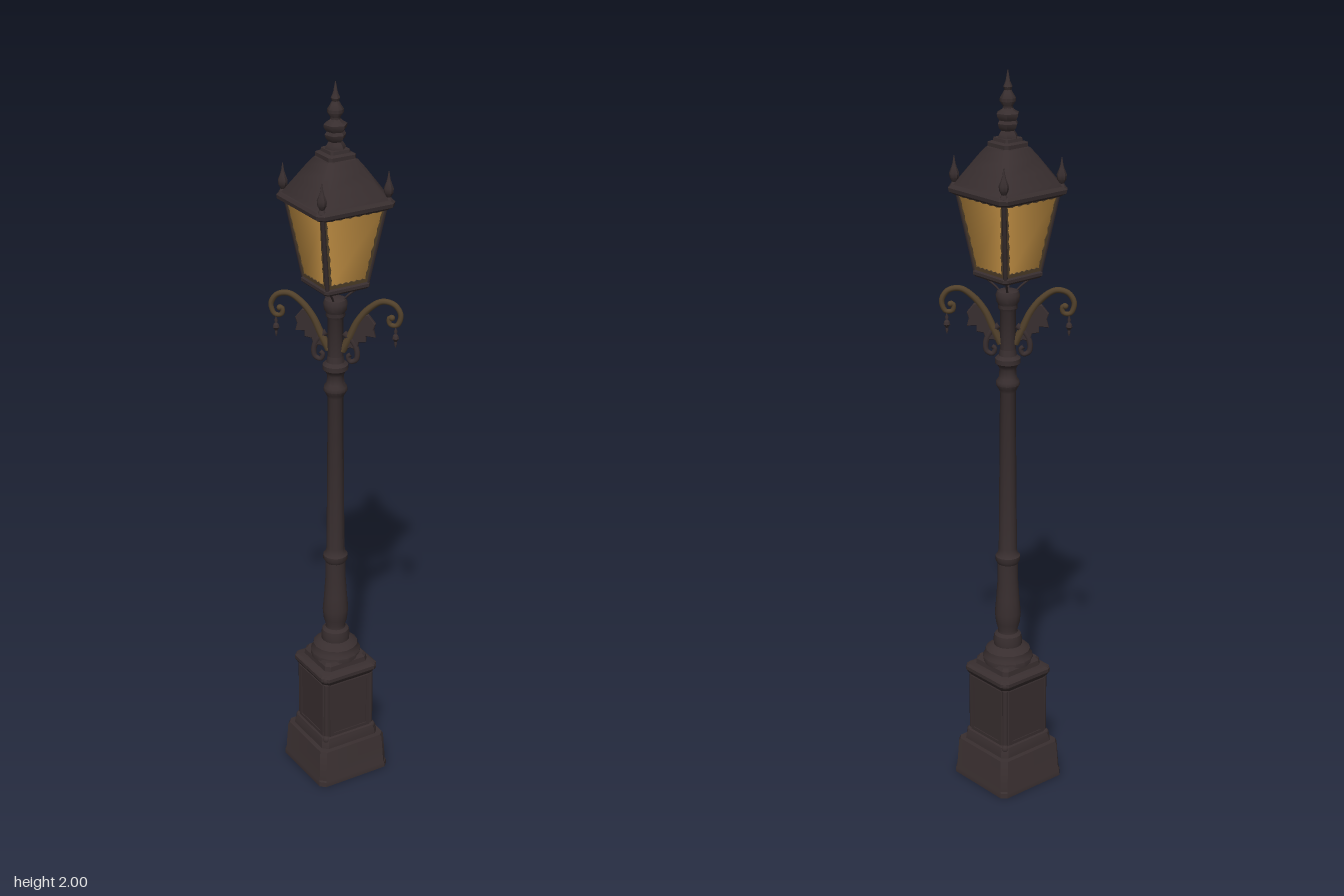
import * as THREE from 'three';
import { toCreasedNormals } from 'three/addons/utils/BufferGeometryUtils.js';

const iron = new THREE.MeshStandardMaterial({ color: 0x382e2f });
iron.name = 'dark iron';
const bronze = new THREE.MeshStandardMaterial({ color: 0x52412b });
bronze.name = 'aged bronze';
const glass = new THREE.MeshStandardMaterial({ color: 0xcd9848 });
glass.name = 'amber glass';

const QUARTER = Math.PI / 2;

function add(parent, name, geometry, material = iron) {
  const mesh = new THREE.Mesh(geometry, material);
  mesh.name = name;
  parent.add(mesh);
  return mesh;
}

// Square loft, corners on the x and z axes, each corner cut flat by half-width c
function squareLoft(profile, c = 0.008, crease = 0.45) {
  const pos = [], idx = [];
  profile.forEach(([r, y], i) => {
    const cut = Math.min(c, r * 0.1);
    for (let k = 0; k < 4; k++) {
      const s = Math.sin(k * QUARTER), co = Math.cos(k * QUARTER);
      for (const w of [-cut, cut]) pos.push(s * r + co * w, y, co * r - s * w);
    }
    if (i === 0) return;
    for (let j = 0; j < 8; j++) {
      const a = (i - 1) * 8 + j, b = (i - 1) * 8 + (j + 1) % 8;
      idx.push(a, b, b + 8, a, b + 8, a + 8);
    }
  });
  const g = new THREE.BufferGeometry();
  g.setAttribute('position', new THREE.Float32BufferAttribute(pos, 3));
  g.setIndex(idx);
  return toCreasedNormals(g, crease);
}

function turned(profile, sides = 14) {
  const g = new THREE.LatheGeometry(profile.map(([r, y]) => new THREE.Vector2(r, y)), sides);
  return toCreasedNormals(g, 0.7);
}

// Tube along a curve whose radius runs from r0 to r1
function taperedTube(points, r0, r1, steps = 40, sides = 8) {
  const curve = new THREE.CatmullRomCurve3(points.map(([x, y, z = 0]) => new THREE.Vector3(x, y, z)));
  const g = new THREE.TubeGeometry(curve, steps, 1, sides);
  const p = g.attributes.position, v = new THREE.Vector3();
  for (let i = 0; i < p.count; i++) {
    const t = Math.floor(i / (sides + 1)) / steps;
    const centre = curve.getPointAt(t);
    v.fromBufferAttribute(p, i).sub(centre).multiplyScalar(r0 + (r1 - r0) * t).add(centre);
    p.setXYZ(i, v.x, v.y, v.z);
  }
  return g;
}

// Flat trapezoid frame; the opening has a scalloped edge of the given depth
function frame(wb, wt, h, border, scallop, depth) {
  const shape = new THREE.Shape([[-wb, 0], [wb, 0], [wt, h], [-wt, h]].map(p => new THREE.Vector2(...p)));
  const b = border;
  const corners = [[-wb + b, b], [wb - b, b], [wt - b, h - b], [-wt + b, h - b]];
  const centre = new THREE.Vector2(0, h / 2), pts = [];
  const n = scallop ? 12 : 1;
  corners.forEach((p, i) => {
    const q = corners[(i + 1) % 4];
    for (let k = 0; k < n; k++) {
      const v = new THREE.Vector2(...p).lerp(new THREE.Vector2(...q), k / n);
      if (k % 2) v.add(centre.clone().sub(v).setLength(scallop));
      pts.push(v);
    }
  });
  shape.holes.push(new THREE.Path(pts.reverse()));
  return new THREE.ExtrudeGeometry(shape, { depth, bevelEnabled: false });
}

// Runs a builder once for each of the four diagonal faces, or each corner
function around(parent, name, offset, build) {
  for (let k = 0; k < 4; k++) {
    const g = new THREE.Group();
    g.name = name;
    g.rotation.y = offset + k * QUARTER;
    parent.add(g);
    build(g);
  }
}

function buildBase(root) {
  add(root, 'plinth', squareLoft([[0.001, 0], [0.148, 0], [0.147, 0.014], [0.144, 0.018], [0.138, 0.1],
    [0.134, 0.108], [0.118, 0.11], [0.116, 0.125], [0.11, 0.138], [0.104, 0.142]], 0.01));
  add(root, 'pedestal', squareLoft([[0.101, 0.135], [0.101, 0.312], [0.108, 0.318], [0.115, 0.328],
    [0.115, 0.338], [0.106, 0.344], [0.088, 0.348], [0.086, 0.362], [0.078, 0.37], [0.001, 0.372]], 0.012));
  around(root, 'pedestal face', Math.PI / 4, g => {
    add(g, 'panel frame', frame(0.064, 0.064, 0.17, 0.011, 0, 0.005)).position.set(0, 0.14, 0.076);
  });
  around(root, 'pedestal corner', 0, g => {
    add(g, 'corner post', new THREE.CylinderGeometry(0.009, 0.009, 0.17, 8)).position.set(0, 0.226, 0.099);
    add(g, 'cornice knob', new THREE.SphereGeometry(0.012, 10, 8)).position.set(0, 0.331, 0.106);
    add(g, 'foot knob', new THREE.SphereGeometry(0.012, 10, 8)).position.set(0, 0.133, 0.104);
  });
}

function buildPost(root) {
  add(root, 'post foot', turned([[0.07, 0.36], [0.07, 0.375], [0.064, 0.382], [0.062, 0.396], [0.05, 0.406],
    [0.039, 0.41], [0.04, 0.425], [0.037, 0.44], [0.028, 0.447], [0.027, 0.455], [0.033, 0.475],
    [0.036, 0.505], [0.032, 0.55], [0.028, 0.61], [0.028, 0.66]], 16));
  add(root, 'shaft', turned([[0.028, 0.655], [0.034, 0.665], [0.034, 0.677], [0.027, 0.685], [0.025, 0.7],
    [0.021, 1.15], [0.025, 1.16], [0.032, 1.172], [0.031, 1.182], [0.024, 1.192], [0.022, 1.215],
    [0.027, 1.225], [0.034, 1.232], [0.034, 1.245], [0.024, 1.253], [0.021, 1.27]], 16));
  add(root, 'post head', turned([[0.021, 1.265], [0.021, 1.375], [0.026, 1.383], [0.025, 1.392], [0.03, 1.4],
    [0.032, 1.418], [0.028, 1.428], [0.018, 1.432], [0.001, 1.434]], 16));
}

function buildBracket(root, side) {
  const g = new THREE.Group();
  g.name = side > 0 ? 'left bracket' : 'right bracket';
  g.rotation.y = side > 0 ? 0 : Math.PI;
  root.add(g);
  add(g, 'scroll arm', taperedTube([[0.018, 1.285], [0.038, 1.325], [0.06, 1.372], [0.09, 1.41], [0.125, 1.432],
    [0.157, 1.425], [0.173, 1.398], [0.163, 1.37], [0.145, 1.371], [0.142, 1.388], [0.152, 1.393]], 0.011, 0.006, 60), bronze);
  add(g, 'lower scroll', taperedTube([[0.022, 1.335], [0.045, 1.315], [0.058, 1.285], [0.055, 1.262],
    [0.04, 1.256], [0.034, 1.27], [0.042, 1.277]], 0.009, 0.006));
  // Leaf with a notched lower edge
  const leaf = new THREE.Shape([[0.022, 1.29], [0.04, 1.298], [0.056, 1.295], [0.062, 1.315], [0.08, 1.318],
    [0.08, 1.335], [0.105, 1.333], [0.1, 1.352], [0.105, 1.368], [0.088, 1.39], [0.07, 1.395], [0.042, 1.345],
  ].map(p => new THREE.Vector2(...p)));
  add(g, 'leaf', new THREE.ExtrudeGeometry(leaf, { depth: 0.008, bevelEnabled: true, bevelSize: 0.002,
    bevelThickness: 0.002, bevelSegments: 1 })).position.z = -0.004;
  add(g, 'end bead', new THREE.SphereGeometry(0.008, 10, 8), bronze).position.set(0.15, 1.389, 0);
  const drop = add(g, 'pendant', turned([[0.001, 1.308], [0.004, 1.318], [0.003, 1.324], [0.009, 1.333],
    [0.007, 1.341], [0.003, 1.346], [0.005, 1.353], [0.002, 1.36], [0.002, 1.37]], 8));
  drop.position.x = 0.16;
}

function buildLantern(root) {
  add(root, 'lantern floor', squareLoft([[0.001, 1.466], [0.082, 1.466], [0.09, 1.472], [0.09, 1.48],
    [0.084, 1.484], [0.001, 1.485]], 0.006));
  // Smooth corners soften the shading across the panes
  add(root, 'glass', squareLoft([[0.083, 1.484], [0.128, 1.688]], 0.004, 1), glass);
  // Trim on the leaning glass faces
  around(root, 'lantern face', Math.PI / 4, g => {
    const trim = add(g, 'glass trim', frame(0.06, 0.091, 0.207, 0.009, 0.004, 0.004), bronze);
    trim.position.set(0, 1.484, 0.0595);
    trim.rotation.x = 0.154;
  });
  around(root, 'lantern corner', 0, g => {
    add(g, 'corner bar', taperedTube([[0, 1.48, 0.084], [0, 1.69, 0.13]], 0.006, 0.006, 2, 6));
    add(g, 'support strut', taperedTube([[0, 1.415, 0.016], [0, 1.433, 0.026], [0, 1.452, 0.046],
      [0, 1.47, 0.07]], 0.003, 0.003, 16, 6));
    add(g, 'corner finial', turned([[0.011, 1.69], [0.012, 1.705], [0.006, 1.714], [0.012, 1.725],
      [0.013, 1.737], [0.007, 1.752], [0.004, 1.762], [0.001, 1.782]], 8)).position.z = 0.137;
  });
  add(root, 'eave', squareLoft([[0.001, 1.682], [0.134, 1.682], [0.15, 1.69], [0.152, 1.7], [0.143, 1.707],
    [0.13, 1.71]], 0.011));
  add(root, 'roof', squareLoft([[0.141, 1.705], [0.131, 1.717], [0.105, 1.748], [0.077, 1.782], [0.055, 1.806]], 0.011, 1));
  add(root, 'roof cap', squareLoft([[0.055, 1.804], [0.051, 1.808], [0.051, 1.818], [0.038, 1.822],
    [0.036, 1.83], [0.001, 1.832]]));
  add(root, 'finial collar', turned([[0.027, 1.826], [0.027, 1.834], [0.022, 1.842], [0.018, 1.848], [0.025, 1.856],
    [0.028, 1.866], [0.023, 1.874], [0.03, 1.884], [0.031, 1.892], [0.018, 1.9], [0.013, 1.906]], 6));
  add(root, 'finial tip', turned([[0.013, 1.9], [0.013, 1.91], [0.021, 1.922], [0.021, 1.93], [0.013, 1.943],
    [0.009, 1.95], [0.012, 1.958], [0.006, 1.972], [0.001, 2]], 10));
}

export function createModel() {
  const root = new THREE.Group();
  root.name = 'street lamp';
  buildBase(root);
  buildPost(root);
  buildBracket(root, 1);
  buildBracket(root, -1);
  buildLantern(root);
  return root;
}
